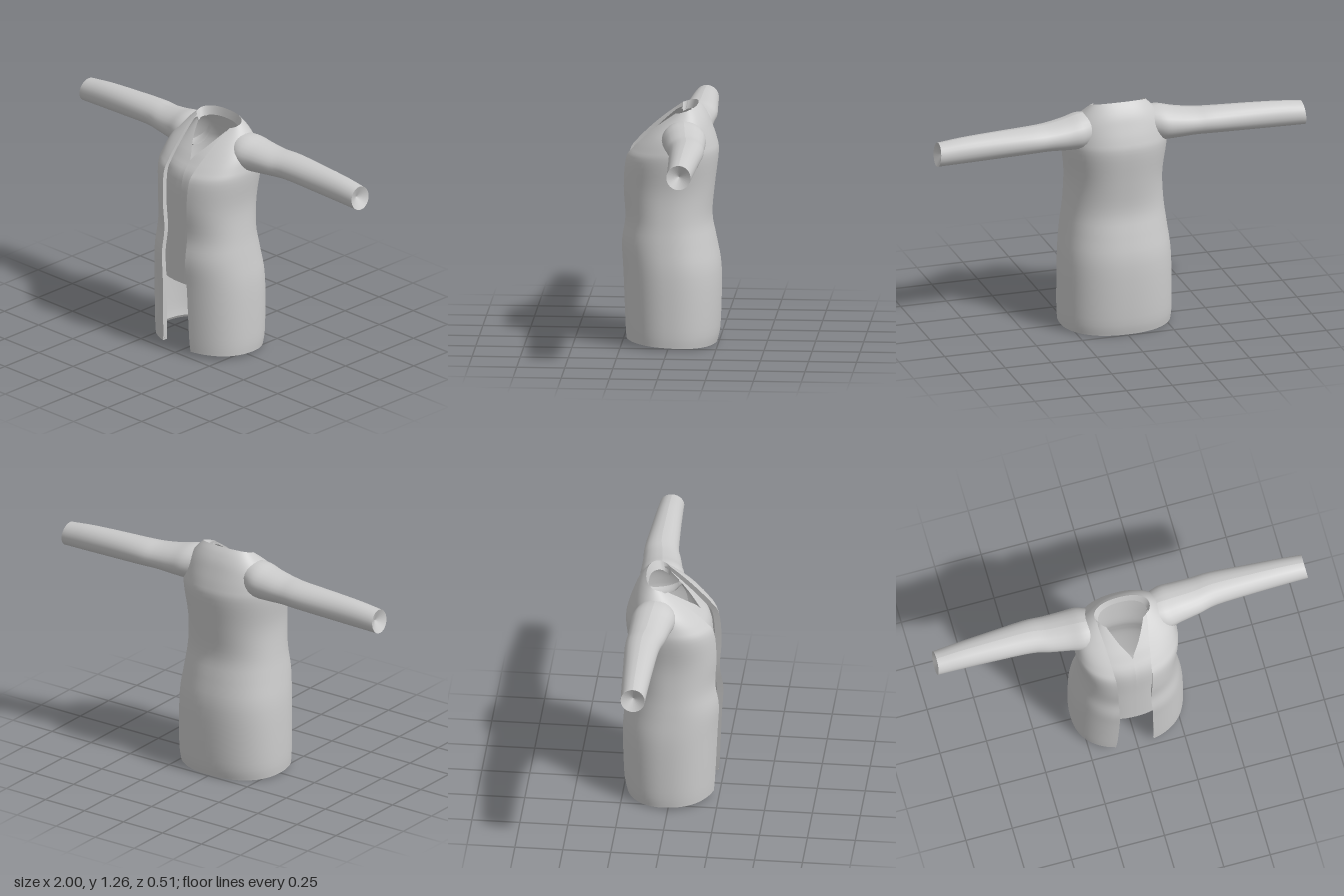
import * as THREE from 'three';

const cloth = new THREE.MeshStandardMaterial({ color: 0xcccccc, side: THREE.DoubleSide });

// Smooth surface through rows of points
function surface(name, rows) {
  const n = rows[0].length, index = [];
  for (let i = 0; i < rows.length - 1; i++) {
    for (let j = 0; j < n - 1; j++) {
      const a = i * n + j, d = a + n;
      index.push(a, a + 1, d + 1, a, d + 1, d);
    }
  }
  const geo = new THREE.BufferGeometry();
  geo.setAttribute('position', new THREE.Float32BufferAttribute(rows.flat().flatMap(p => p.toArray()), 3));
  geo.setIndex(index);
  geo.computeVertexNormals();
  const mesh = new THREE.Mesh(geo, cloth);
  mesh.name = name;
  return mesh;
}

// Extra rows between the given number rows, by Catmull-Rom
function refine(rows, steps) {
  const out = [], last = rows.length - 1;
  const at = i => rows[Math.min(last, Math.max(0, i))];
  for (let i = 0; i < last; i++) {
    for (let s = 0; s < steps; s++) {
      const t = s / steps;
      out.push(at(i).map((p, k) => {
        const o = at(i - 1)[k], q = at(i + 1)[k], r = at(i + 2)[k];
        return p + 0.5 * t * (q - o + t * (2 * o - 5 * p + 4 * q - r + t * (3 * (p - q) + r - o)));
      }));
    }
  }
  out.push(rows[last]);
  return out;
}

// Point on a rounded cross-section; angle 0 is the front, growing towards +x
const POWER = 2 / 2.25;
const bend = v => Math.sign(v) * Math.abs(v) ** POWER;
function sectionPoint([w, zf, zb, yf, yb], angle) {
  const f = (bend(Math.cos(angle)) + 1) / 2;
  return new THREE.Vector3(w * bend(Math.sin(angle)), yb + (yf - yb) * f, zb + (zf - zb) * f);
}
const gapAngle = (gap, w) => Math.asin(Math.min(1, Math.max(0, gap) / w) ** (1 / POWER));
function arc(level, from, to, n) {
  return Array.from({ length: n + 1 }, (_, j) => sectionPoint(level, from + (to - from) * j / n));
}

// half width, front z, back z, front y, back y, opening on +x, opening on -x
const COAT = [
  [0.295, 0.235, -0.24, 0.03, 0.005, 0.09, 0.115],
  [0.30, 0.24, -0.255, 0.12, 0.10, 0.085, 0.108],
  [0.295, 0.25, -0.26, 0.38, 0.38, 0.08, 0.10],
  [0.278, 0.258, -0.235, 0.54, 0.54, 0.075, 0.10],
  [0.262, 0.24, -0.212, 0.67, 0.67, 0.072, 0.10],
  [0.254, 0.25, -0.225, 0.83, 0.83, 0.075, 0.105],
  [0.272, 0.238, -0.245, 0.98, 1.0, 0.08, 0.11],
  [0.268, 0.20, -0.235, 1.04, 1.07, 0.085, 0.115],
  [0.25, 0.14, -0.21, 1.10, 1.145, 0.095, 0.122],
  [0.212, 0.08, -0.19, 1.155, 1.195, 0.105, 0.13],
  [0.175, 0.03, -0.165, 1.195, 1.235, 0.115, 0.138],
  [0.148, -0.005, -0.14, 1.22, 1.262, 0.12, 0.142],
];
const SHIRT = [
  [0.25, 0.212, -0.20, 0.39, 0.39, 0],
  [0.235, 0.205, -0.20, 0.70, 0.70, 0],
  [0.24, 0.20, -0.20, 0.96, 0.97, 0],
  [0.23, 0.14, -0.20, 1.06, 1.08, 0],
  [0.18, 0.075, -0.17, 1.13, 1.16, 0.05],
  [0.132, 0.0, -0.135, 1.20, 1.235, 0.10],
];
// x, centre y, radius y, centre z, radius z
const SLEEVE = [
  [0.15, 1.12, 0.08, -0.075, 0.09],
  [0.22, 1.11, 0.092, -0.08, 0.115],
  [0.30, 1.103, 0.082, -0.09, 0.108],
  [0.40, 1.10, 0.071, -0.10, 0.099],
  [0.50, 1.10, 0.07, -0.113, 0.09],
  [0.70, 1.093, 0.07, -0.113, 0.078],
  [0.86, 1.086, 0.068, -0.112, 0.07],
  [0.995, 1.077, 0.063, -0.11, 0.063],
];

function createModel() {
  const group = new THREE.Group();

  // Open coat body
  const body = refine(COAT, 4).map(l =>
    arc(l, gapAngle(l[5], l[0]), 2 * Math.PI - gapAngle(l[6], l[0]), 64));
  group.add(surface('coatBody', body));

  // Turned-in front edges, hem and collar
  const inward = (p, s, dy) => new THREE.Vector3(p.x * s, p.y + dy, p.z);
  const turned = (p, dx) => new THREE.Vector3(p.x + dx, p.y - 0.005, p.z - 0.035);
  group.add(surface('leftFrontEdge', body.map(r => [turned(r[0], 0.008), r[0]])));
  group.add(surface('rightFrontEdge', body.map(r => [r[64], turned(r[64], -0.008)])));
  const top = body[body.length - 1];
  group.add(surface('collarLining', [top, top.map(p => {
    const q = inward(p, 0.88, -0.045);
    q.z += 0.012 * (p.z < -0.07 ? 1 : 0);
    return q;
  })]));
  const hemRow = body[0].map(p => new THREE.Vector3(p.x * 0.97, p.y + 0.015, p.z * 0.97));
  group.add(surface('hemLining', [hemRow, body[0]]));

  // V-neck shirt front beneath the coat, in two halves
  const shirt = refine(SHIRT, 4);
  const start = l => (l[3] <= 1.06 ? 0 : gapAngle(l[5], l[0]));
  group.add(surface('shirtFrontLeft', shirt.map(l => arc(l, start(l), 1.35, 16))));
  group.add(surface('shirtFrontRight', shirt.map(l => arc(l, -1.35, -start(l), 16))));

  // Sleeves with a shallow inward cone closing each cuff
  for (const [side, name] of [[1, 'left'], [-1, 'right']]) {
    const ring = ([x, y, ry, z, rz]) => Array.from({ length: 25 }, (_, j) => {
      const a = side * j / 24 * 2 * Math.PI;
      // cuff leans slightly inwards at the top
      const lean = x > 0.9 ? -0.006 * Math.cos(a) : 0;
      return new THREE.Vector3(side * (x + lean), y + ry * Math.cos(a), z + rz * Math.sin(a));
    });
    const rows = refine(SLEEVE, 4).map(ring);
    group.add(surface(name + 'Sleeve', rows));
    const cuff = rows[rows.length - 1];
    const tip = cuff.map(() => new THREE.Vector3(side * 0.965, 1.077, -0.11));
    group.add(surface(name + 'CuffEnd', [cuff, tip]));
  }
  return group;
}

export { createModel };
